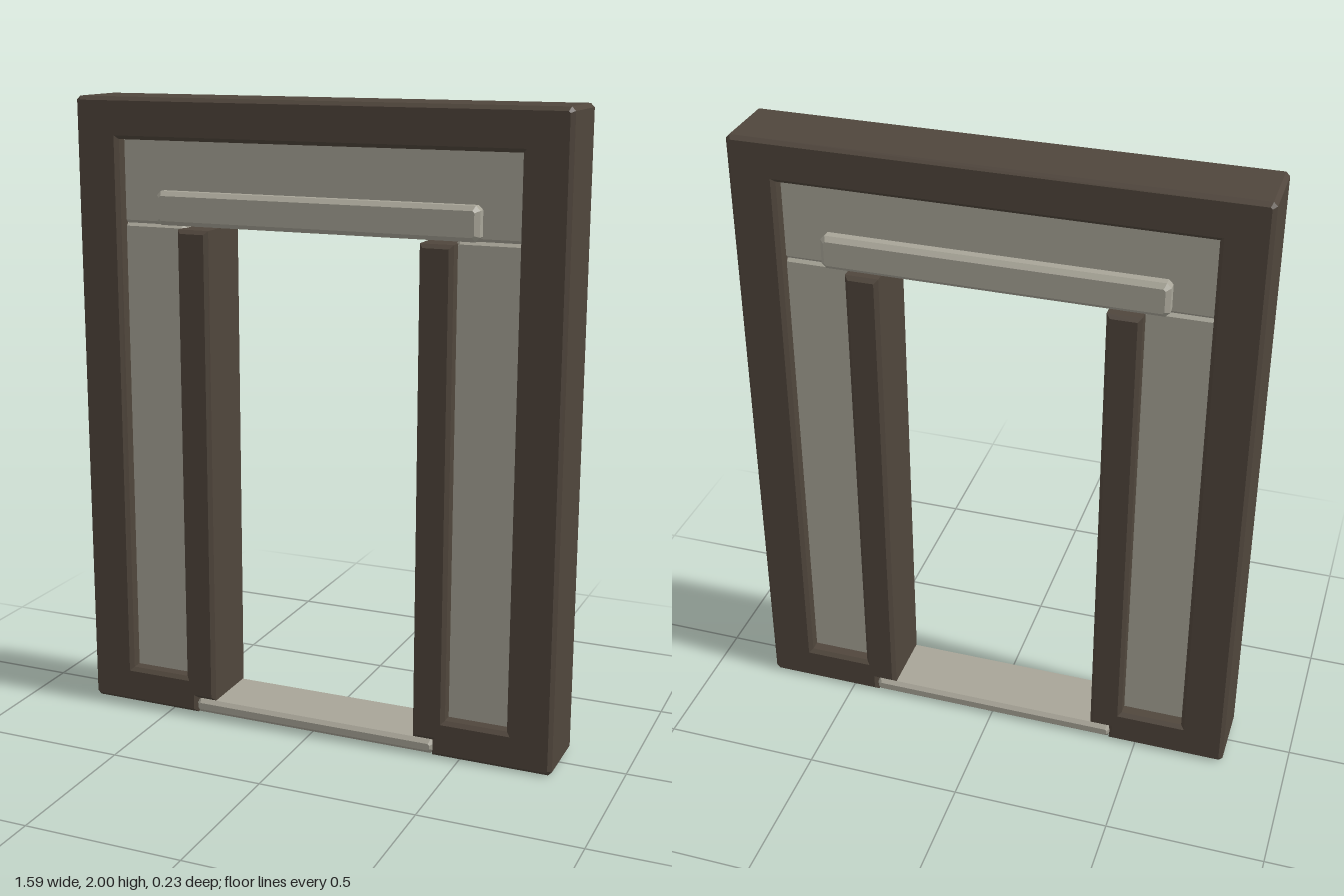
import * as THREE from 'three';

const brown = new THREE.MeshStandardMaterial({ color: 0x50463c });
const stone = new THREE.MeshStandardMaterial({ color: 0xa8a598 });

// Extrude an outline along z, centred, with chamfered edges
function bevelled(name, points, depth, bevel, material) {
  const shape = new THREE.Shape(points.map(([x, y]) => new THREE.Vector2(x, y)));
  const geometry = new THREE.ExtrudeGeometry(shape, {
    depth: depth - 2 * bevel,
    bevelEnabled: true,
    bevelThickness: bevel,
    bevelSize: bevel,
    bevelOffset: -bevel,
    bevelSegments: 1,
  });
  geometry.translate(0, 0, -depth / 2 + bevel);
  const mesh = new THREE.Mesh(geometry, material);
  mesh.name = name;
  return mesh;
}

// Block given by its x and y limits, chamfered on every edge
function block(name, x0, x1, y0, y1, depth, bevel, material) {
  const c = bevel;
  const points = [
    [x0 + c, y0], [x1 - c, y0], [x1, y0 + c], [x1, y1 - c],
    [x1 - c, y1], [x0 + c, y1], [x0, y1 - c], [x0, y0 + c],
  ];
  return bevelled(name, points, depth, bevel, material);
}

export function createModel() {
  const model = new THREE.Group();
  model.name = 'doorway';

  // Outer frame and inner jambs: right half of the outline, then mirrored
  const c = 0.012;
  const half = [
    [0.41, 0], [0.795 - c, 0], [0.795, c], [0.795, 2 - c], [0.795 - c, 2],
  ];
  const inner = [
    [0.65, 1.87], [0.65, 0.12], [0.45, 0.12], [0.45, 1.6],
    [0.345, 1.6], [0.345, 0.05], [0.41, 0.05],
  ];
  const mirror = (list) => list.map(([x, y]) => [-x, y]).reverse();
  const outline = [...half, ...mirror(half), ...mirror(inner), ...inner];
  model.add(bevelled('frame', outline, 0.23, c, brown));

  // Recessed panels beside and above the opening
  const panelDepth = 0.14;
  for (const [name, x0, x1] of [['leftPanel', 0.44, 0.665], ['rightPanel', -0.665, -0.44]]) {
    model.add(block(name, x0, x1, 0.1, 1.61, panelDepth, 0.012, stone));
  }
  model.add(block('topPanel', -0.665, 0.665, 1.605, 1.885, panelDepth, 0.012, stone));

  // Lintel bar standing out on both faces
  model.add(block('lintelBar', -0.525, 0.525, 1.61, 1.715, 0.22, 0.014, stone));

  // Threshold
  model.add(block('threshold', -0.415, 0.415, 0.002, 0.048, 0.226, 0.012, stone));

  return model;
}
